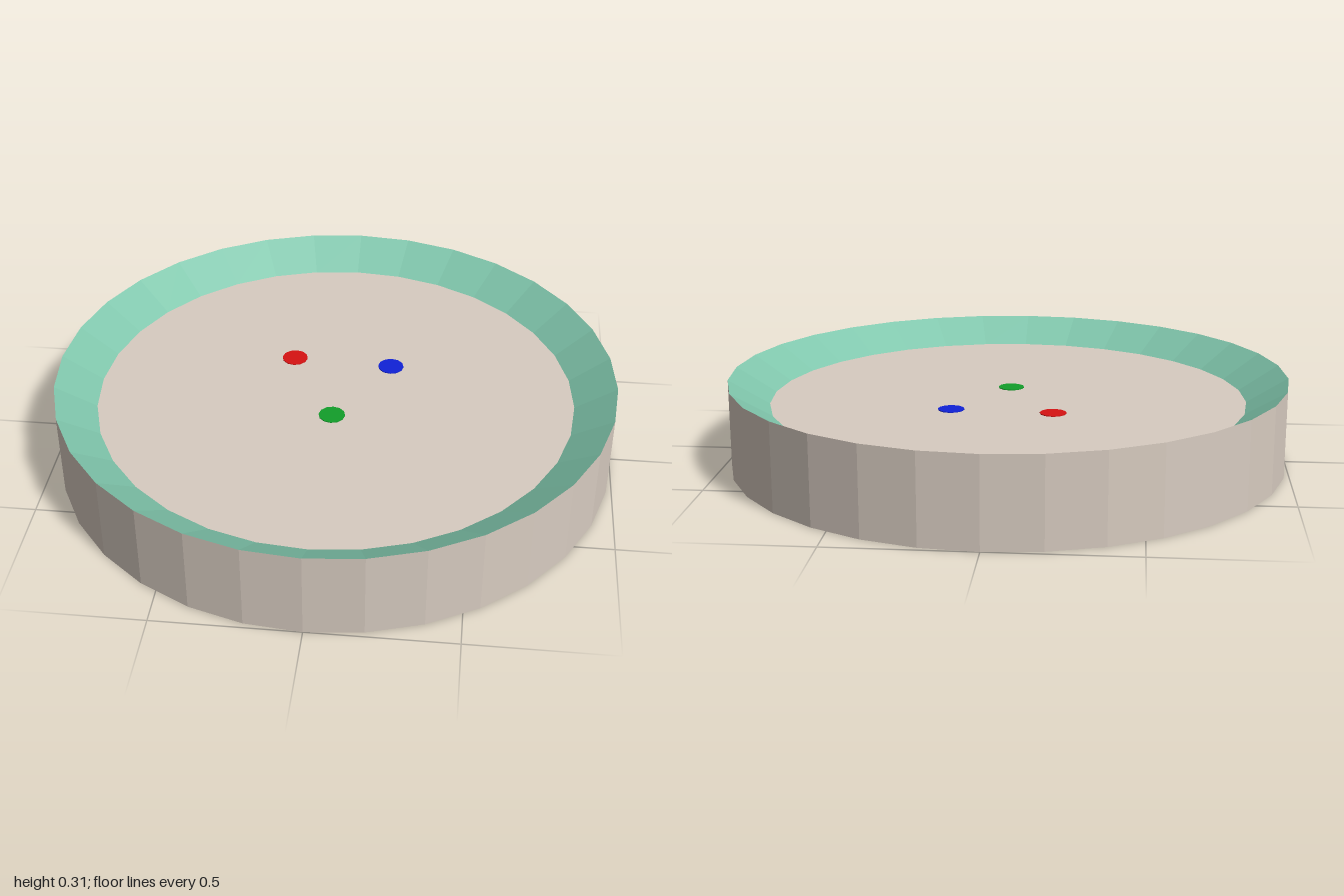
import * as THREE from 'three';

const SIDES = 32;
const HEIGHT = 0.31;
const FLOOR_Y = 0.22;
const FLOOR_RADIUS = 0.855;

function material(name, color) {
  const m = new THREE.MeshStandardMaterial({ color, flatShading: true, side: THREE.DoubleSide });
  m.name = name;
  return m;
}

export function createModel() {
  const group = new THREE.Group();
  const beige = material('beige', 0xd8ccc1);
  const seaGreen = material('seaGreen', 0x80c6ac);
  const red = material('red', 0xd61212);
  const blue = material('blue', 0x1022d8);
  const green = material('green', 0x129e2a);

  const add = (name, geometry, mat, x, y, z) => {
    const mesh = new THREE.Mesh(geometry, mat);
    mesh.name = name;
    mesh.position.set(x, y, z);
    group.add(mesh);
  };

  // Outer wall, open at the bottom
  add('outerWall', new THREE.CylinderGeometry(1, 1, HEIGHT, SIDES, 1, true), beige, 0, HEIGHT / 2, 0);

  // Sloping rim from the top edge down to the floor
  const slope = HEIGHT - FLOOR_Y;
  const rim = new THREE.CylinderGeometry(1, FLOOR_RADIUS, slope, SIDES, 1, true);
  rim.scale(-1, 1, 1); // mirrored so its front faces inward
  add('slopedRim', rim, seaGreen, 0, FLOOR_Y + slope / 2, 0);

  // Raised floor
  const floor = new THREE.CircleGeometry(FLOOR_RADIUS, SIDES);
  floor.rotateX(-Math.PI / 2);
  add('floor', floor, beige, 0, FLOOR_Y, 0);

  // Coloured spots, showing on both faces of the floor
  const spot = new THREE.CylinderGeometry(0.047, 0.047, 0.006, 12);
  add('redSpot', spot, red, -0.175, FLOOR_Y, -0.21);
  add('blueSpot', spot, blue, 0.185, FLOOR_Y, -0.19);
  add('greenSpot', spot, green, 0, FLOOR_Y, 0.135);

  return group;
}
